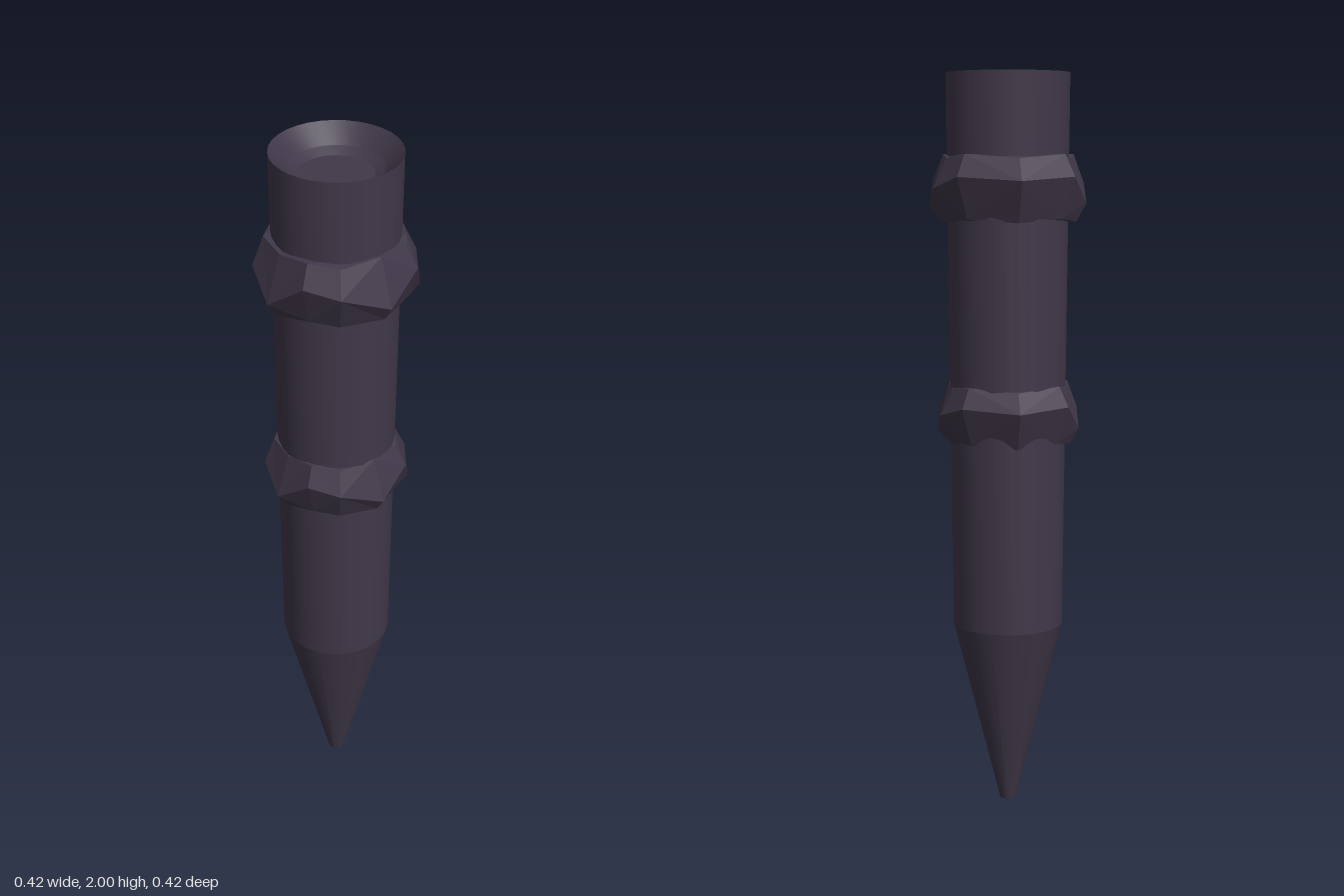
import * as THREE from 'three';
import { toCreasedNormals } from 'three/addons/utils/BufferGeometryUtils.js';

// Irregular faceted collar: [x, z, height of the widest point] per column
const COLLAR = [
  [0.03, -0.214, 0.02], [0.175, -0.12, 0.03], [0.21, -0.013, 0.0],
  [0.196, 0.075, -0.05], [0.175, 0.12, 0.02], [0.09, 0.195, -0.04],
  [-0.04, 0.21, 0.01], [-0.125, 0.17, 0.03], [-0.195, 0.085, -0.05],
  [-0.211, -0.012, 0.01], [-0.18, -0.117, -0.04], [-0.13, -0.169, 0.03],
];

function collarGeometry() {
  const n = COLLAR.length;
  const rows = [[], [], [], [], []];
  COLLAR.forEach(([x, z, h], i) => {
    const r = Math.hypot(x, z);
    const at = (radius, y) => new THREE.Vector3((x / r) * radius, y, (z / r) * radius);
    const odd = i % 2;
    rows[0].push(at(0.15, -0.088));                                  // hidden inside the shaft
    rows[1].push(at(h < 0 ? 0.188 : 0.172, -0.088 + odd * 0.008));   // lower rim
    rows[2].push(at(r, h));                                          // widest point
    rows[3].push(at(h > 0 ? 0.182 : 0.173, 0.078 + odd * 0.01));     // upper rim
    rows[4].push(at(0.15, 0.086));
  });
  const pos = [];
  const tri = (...pts) => pts.forEach((p) => pos.push(p.x, p.y, p.z));
  // Columns run clockwise seen from above, so a, c, b faces outward
  for (let k = 0; k < rows.length - 1; k++) {
    for (let i = 0; i < n; i++) {
      const j = (i + 1) % n;
      const a = rows[k][i], b = rows[k][j], c = rows[k + 1][i], d = rows[k + 1][j];
      if ((i + k) % 2) { tri(a, c, b); tri(b, c, d); }
      else { tri(a, c, d); tri(a, d, b); }
    }
  }
  const geo = new THREE.BufferGeometry();
  geo.setAttribute('position', new THREE.Float32BufferAttribute(pos, 3));
  geo.computeVertexNormals();
  return geo;
}

export function createModel() {
  const group = new THREE.Group();
  const darkPlum = new THREE.MeshStandardMaterial({ color: 0x403849 });
  darkPlum.name = 'dark plum';

  // Shaft with tapered point below and a shallow dish in the top
  const profile = [
    [0, 0], [0.022, 0], [0.15, 0.51], [0.165, 2],
    [0.12, 1.955], [0.095, 1.94], [0, 1.94],
  ].map(([r, y]) => new THREE.Vector2(r, y));
  const shaft = new THREE.Mesh(
    toCreasedNormals(new THREE.LatheGeometry(profile, 32), 0.22), darkPlum);
  shaft.name = 'shaft';
  group.add(shaft);

  // Two faceted collars, the lower one slightly smaller
  const geo = collarGeometry();
  [['upperCollar', 1.7, 1], ['lowerCollar', 1.097, 0.92]].forEach(([name, y, s]) => {
    const collar = new THREE.Mesh(geo, darkPlum);
    collar.name = name;
    collar.position.y = y;
    collar.scale.set(s, s, s);
    group.add(collar);
  });

  return group;
}
